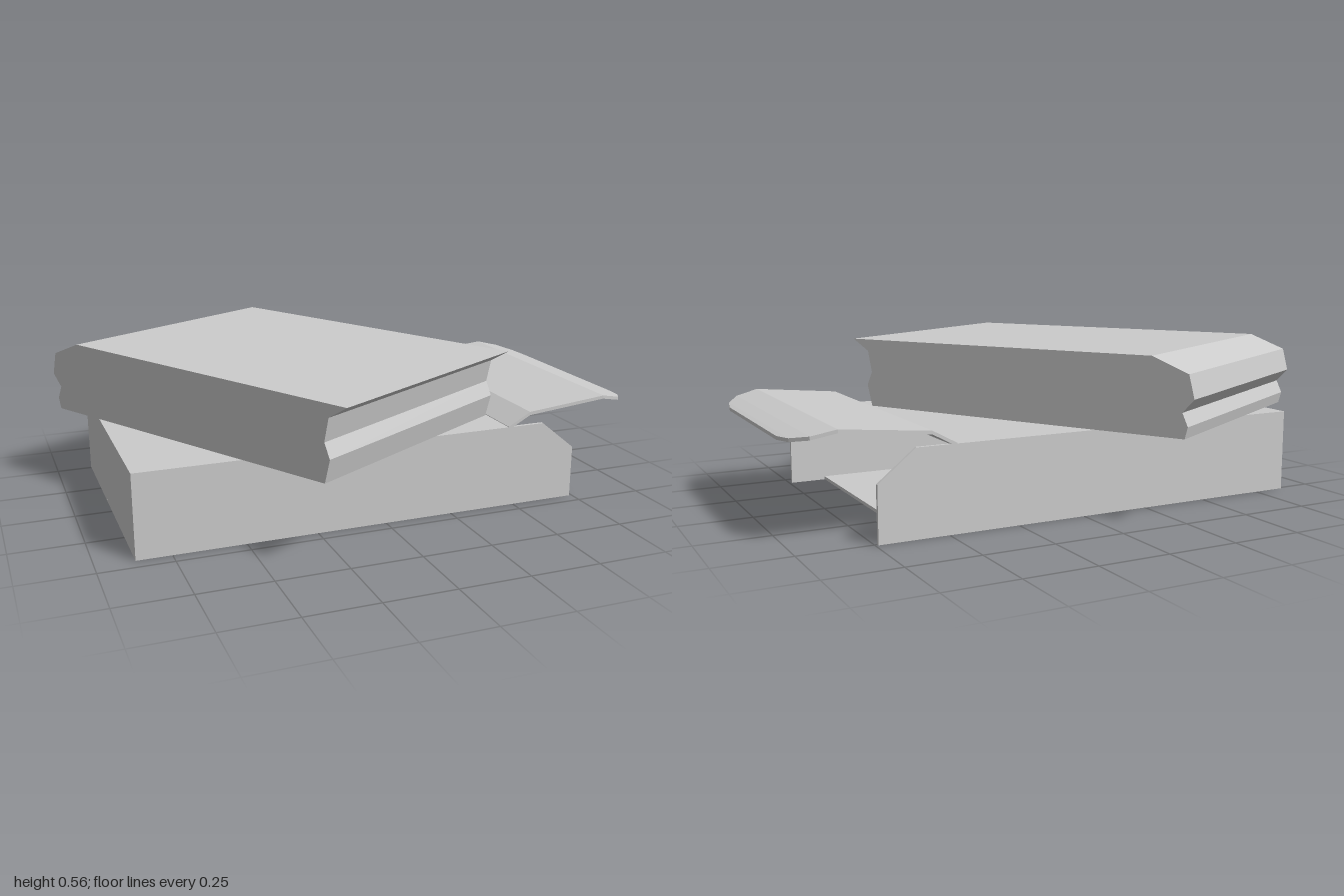
import * as THREE from 'three';

const grey = new THREE.MeshStandardMaterial({ color: 0xcccccc, flatShading: true, side: THREE.DoubleSide });
const MID_Z = -0.03;   // middle of the carton
const HALF_W = 0.48;   // half of its width
const WALL = 0.012;

function add(group, name, geometry, x = 0, y = 0, z = 0) {
  const mesh = new THREE.Mesh(geometry, grey);
  mesh.name = name;
  mesh.position.set(x, y, z);
  group.add(mesh);
  return mesh;
}

function extrude(points, depth) {
  const shape = new THREE.Shape(points.map(([x, y]) => new THREE.Vector2(x, y)));
  return new THREE.ExtrudeGeometry(shape, { depth, bevelEnabled: false }).translate(0, 0, -depth / 2);
}

// Thin bent sheet from stations [x, y, half width]
function sheet(stations, thickness) {
  const pos = [], index = [];
  for (const [x, y, w] of stations)
    pos.push(x, y, w, x, y, -w, x, y - thickness, -w, x, y - thickness, w);
  for (let i = 0; i < stations.length - 1; i++)
    for (let k = 0; k < 4; k++) {
      const a = i * 4 + k, b = i * 4 + (k + 1) % 4;
      index.push(a, a + 4, b, b, a + 4, b + 4);
    }
  const e = pos.length / 3 - 4;
  index.push(0, 1, 2, 0, 2, 3, e, e + 2, e + 1, e, e + 3, e + 2);
  const geometry = new THREE.BufferGeometry();
  geometry.setAttribute('position', new THREE.Float32BufferAttribute(pos, 3));
  geometry.setIndex(index);
  geometry.computeVertexNormals();
  return geometry;
}

export function createModel() {
  const model = new THREE.Group();
  model.name = 'cartonWithBlock';

  // Hollow carton, open at one end
  const carton = new THREE.Group();
  carton.name = 'carton';
  carton.position.z = MID_Z;
  model.add(carton);

  const side = [[-0.87, 0], [0.74, 0], [0.74, 0.19], [0.61, 0.295], [-0.87, 0.295]];
  for (const s of [1, -1])
    add(carton, s > 0 ? 'frontWall' : 'backWall', extrude(side, WALL), 0, 0, s * (HALF_W - WALL / 2));

  const inner = 2 * (HALF_W - WALL);
  add(carton, 'floor', new THREE.BoxGeometry(1.48, WALL, inner), -0.13, WALL / 2, 0);
  add(carton, 'endWall', new THREE.BoxGeometry(WALL, 0.295, inner), -0.87 + WALL / 2, 0.1475, 0);
  add(carton, 'topPanel', new THREE.BoxGeometry(1.34, WALL, inner), -0.2, 0.295 - WALL / 2, 0);

  // Raised flap with rounded corners
  add(carton, 'flap', sheet([
    [0.47, 0.297, HALF_W], [0.555, 0.343, HALF_W], [0.86, 0.373, HALF_W],
    [0.94, 0.355, 0.46], [0.985, 0.342, 0.39], [1, 0.337, 0.31],
  ], WALL));

  // Turned block with a grooved, overhanging profile
  const profile = [
    [0.615, 0.3], [0.635, 0.38], [0.613, 0.43], [0.63, 0.51], [0.7, 0.553],
    [-0.55, 0.561], [-0.68, 0.51], [-0.7, 0.43], [-0.66, 0.385], [-0.68, 0.34], [-0.67, 0.3],
  ];
  const block = add(model, 'block', extrude(profile, 0.92), -0.25, 0, 0);
  block.rotation.y = -Math.PI / 3;

  return model;
}
